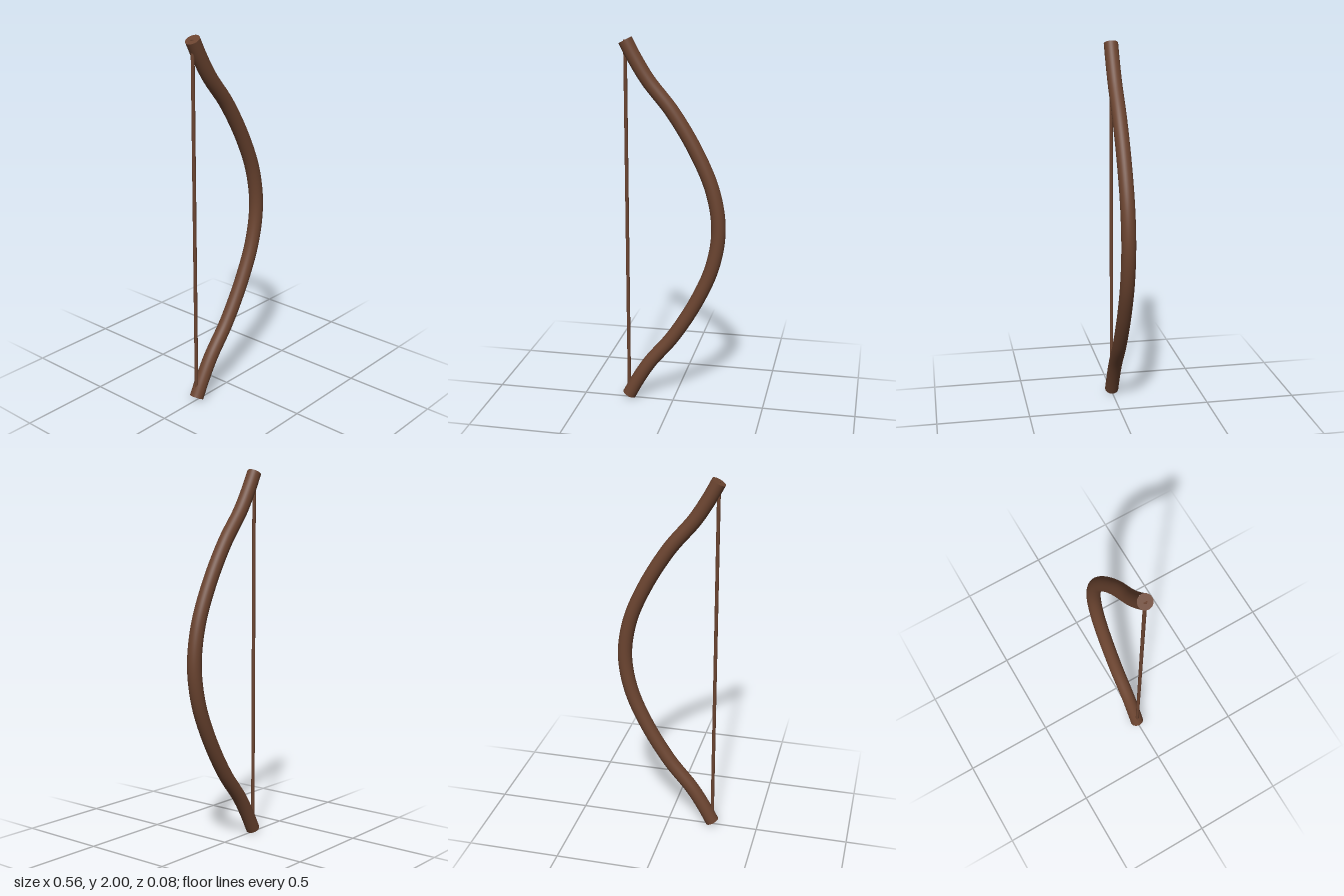
import * as THREE from 'three';

export function createModel() {
  const group = new THREE.Group();
  const wood = new THREE.MeshStandardMaterial({ color: 0x6b4430 });
  wood.name = 'brown wood';
  const add = (name, geometry, parent = group) => {
    const mesh = new THREE.Mesh(geometry, wood);
    mesh.name = name;
    parent.add(mesh);
    return mesh;
  };

  // Upper limb centre line, mirrored about the grip at y = 1
  const upper = [[-0.248, 1.982], [-0.2, 1.892], [-0.13, 1.78], [0, 1.618], [0.131, 1.4], [0.214, 1.2]];
  const points = [
    ...upper,
    [0.244, 1],
    ...upper.map(([x, y]) => [x, 2 - y]).reverse(),
  ].map(([x, y]) => new THREE.Vector3(x, y, 0));
  const curve = new THREE.CatmullRomCurve3(points);
  const radius = 0.038;

  // Curved stave
  const bow = new THREE.Group();
  bow.name = 'bow';
  group.add(bow);
  add('stave', new THREE.TubeGeometry(curve, 80, radius, 32), bow);

  // Flat ends, square to the stave
  for (const [name, t, sign] of [['upperTip', 0, -1], ['lowerTip', 1, 1]]) {
    const cap = add(name, new THREE.CircleGeometry(radius, 32), bow);
    cap.position.copy(curve.getPoint(t));
    cap.quaternion.setFromUnitVectors(
      new THREE.Vector3(0, 0, 1), curve.getTangent(t).multiplyScalar(sign));
  }

  // Straight string between the tips
  const string = add('string', new THREE.CylinderGeometry(0.0095, 0.0095, 1.964, 16));
  string.position.set(-0.248, 1, 0);
  return group;
}
